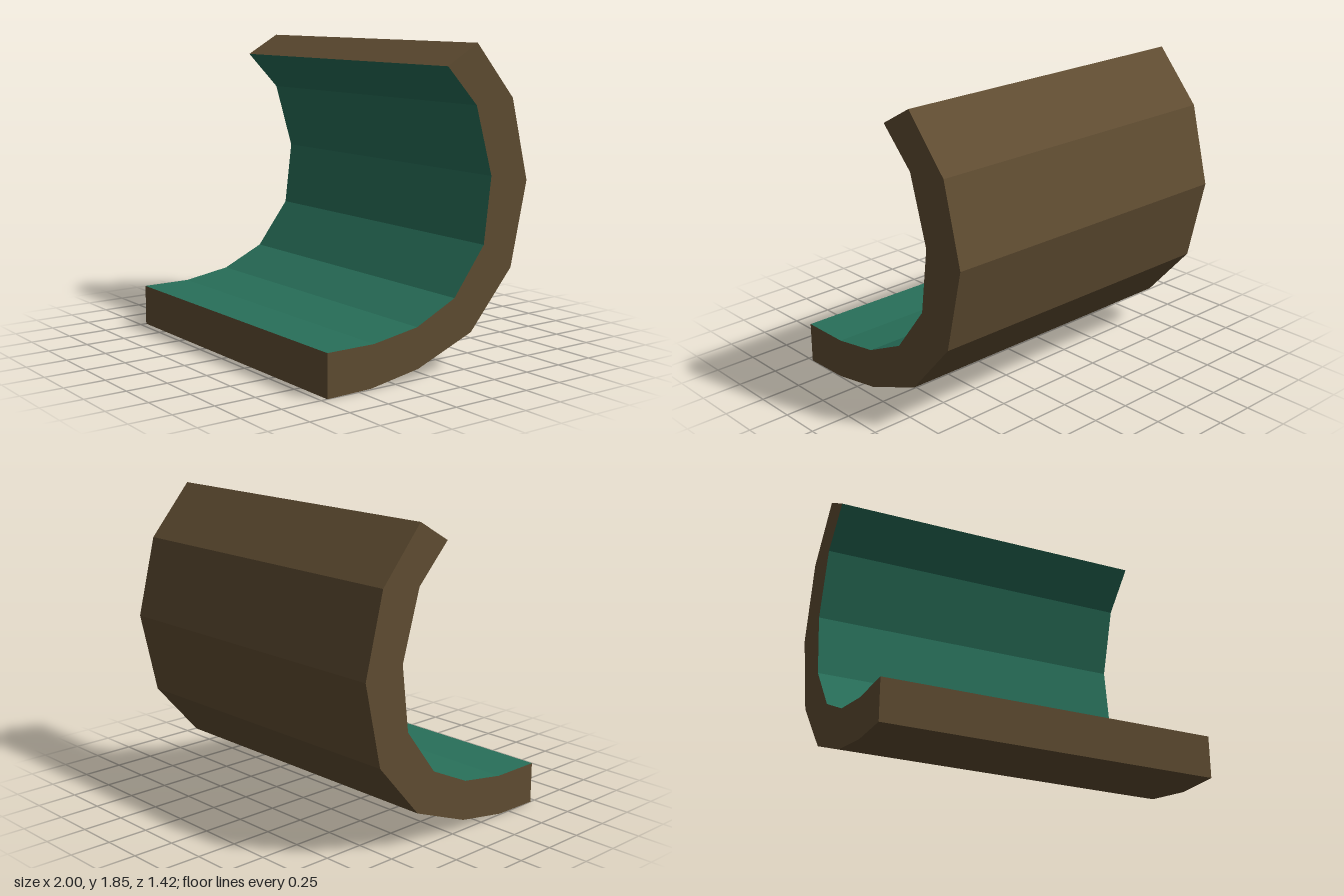
import * as THREE from 'three';

// Side profile as [z, y], running from the front lip to the top of the curl
const inner = [[0.71, 0.25], [0.4, 0.25], [0.1, 0.298], [-0.17, 0.425], [-0.385, 0.705], [-0.434, 1.095], [-0.314, 1.5], [-0.1, 1.722]];
const outer = [[0.71, 0], [0.42, 0.005], [0.09, 0.06], [-0.297, 0.21], [-0.597, 0.55], [-0.71, 1.05], [-0.588, 1.53], [-0.314, 1.845]];
const halfWidth = 1;

// Flat-faced strip swept across the width along a run of profile points
function strip(points) {
  const pos = [];
  for (let i = 0; i < points.length - 1; i++) {
    const [z0, y0] = points[i], [z1, y1] = points[i + 1], w = halfWidth;
    pos.push(w, y0, z0, w, y1, z1, -w, y1, z1);
    pos.push(w, y0, z0, -w, y1, z1, -w, y0, z0);
  }
  const geo = new THREE.BufferGeometry();
  geo.setAttribute('position', new THREE.Float32BufferAttribute(pos, 3));
  geo.computeVertexNormals();
  return geo;
}

// End wall on the left (side = 1) or right (side = -1)
function endWall(side) {
  const outline = [...inner, ...[...outer].reverse()];
  const shape = new THREE.Shape(outline.map(([z, y]) => new THREE.Vector2(-side * z, y)));
  return new THREE.ShapeGeometry(shape).rotateY(side * Math.PI / 2).translate(side * halfWidth, 0, 0);
}

export function createModel() {
  const brown = new THREE.MeshStandardMaterial({ color: 0x604d32 });
  brown.name = 'brown shell';
  const green = new THREE.MeshStandardMaterial({ color: 0x28705a });
  green.name = 'green lining';

  const model = new THREE.Group();
  model.name = 'curvedShell';
  const add = (name, geo, mat) => {
    const mesh = new THREE.Mesh(geo, mat);
    mesh.name = name;
    model.add(mesh);
  };

  // Green concave face
  add('innerSurface', strip(inner), green);
  // Brown top edge, back, underside and front lip
  add('outerShell', strip([inner[inner.length - 1], ...[...outer].reverse(), inner[0]]), brown);
  // Brown end walls
  add('leftEnd', endWall(1), brown);
  add('rightEnd', endWall(-1), brown);
  return model;
}
